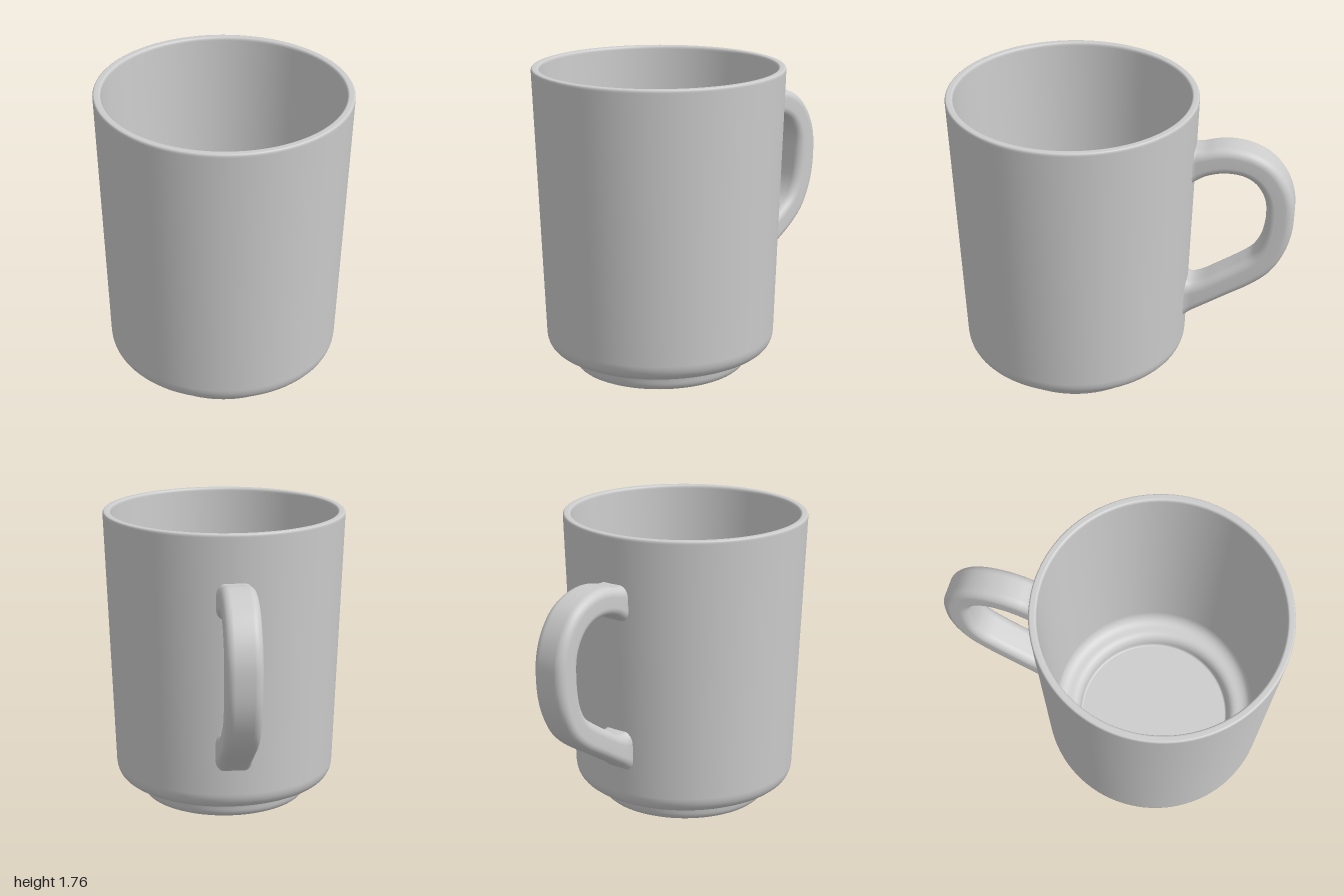
import * as THREE from 'three';

const material = new THREE.MeshStandardMaterial({ color: 0xcccccc });
const CUP_Z = 0.283;

// Hollow cup with stepped foot, turned around its own axis
function makeCup() {
  const p = new THREE.Path();
  p.moveTo(0, 0);
  p.lineTo(0.45, 0);
  p.bezierCurveTo(0.485, 0, 0.506, 0.022, 0.509, 0.06); // foot edge
  p.lineTo(0.511, 0.072);
  p.quadraticCurveTo(0.517, 0.105, 0.55, 0.107);     // groove above the foot
  p.lineTo(0.56, 0.107);
  p.bezierCurveTo(0.62, 0.107, 0.659, 0.145, 0.662, 0.21); // shoulder
  p.lineTo(0.716, 1.74);
  p.quadraticCurveTo(0.717, 1.76, 0.704, 1.76);      // rim
  p.lineTo(0.686, 1.76);
  p.quadraticCurveTo(0.672, 1.76, 0.671, 1.74);
  p.lineTo(0.615, 0.24);                             // inner wall
  p.bezierCurveTo(0.612, 0.18, 0.58, 0.155, 0.53, 0.153);
  p.quadraticCurveTo(0.47, 0.15, 0.465, 0.08);       // step down to the floor
  p.quadraticCurveTo(0.464, 0.055, 0.45, 0.055);
  p.lineTo(0, 0.055);
  const mesh = new THREE.Mesh(new THREE.LatheGeometry(p.getPoints(8), 96), material);
  mesh.name = 'cup';
  mesh.position.z = CUP_Z;
  return mesh;
}

// Rounded rectangle section: x across the handle, t from 0 (inner edge) to 1 (outer edge)
function sectionPoints(width, depth, radius, steps) {
  const pts = [];
  const corners = [[1, 1], [-1, 1], [-1, -1], [1, -1]];
  corners.forEach(([sx, sy], c) => {
    for (let i = 0; i <= steps; i++) {
      const a = (c + i / steps) * Math.PI / 2;
      pts.push([
        sx * (width / 2 - radius) + radius * Math.cos(a),
        (sy * (depth / 2 - radius) + radius * Math.sin(a)) / depth + 0.5,
      ]);
    }
  });
  return pts;
}

// Handle swept between its outer and inner edge curves, given as [z, y]
function makeHandle() {
  const edge = (pts) => new THREE.CatmullRomCurve3(pts.map(([z, y]) => new THREE.Vector3(0, y, z)));
  const outer = edge([
    [-0.395, 1.485], [-0.43, 1.48], [-0.47, 1.483], [-0.54, 1.5], [-0.63, 1.507], [-0.75, 1.485], [-0.86, 1.425],
    [-0.945, 1.32], [-0.99, 1.2], [-0.999, 1.08], [-0.985, 0.94], [-0.945, 0.82], [-0.88, 0.71],
    [-0.78, 0.62], [-0.63, 0.525], [-0.5, 0.443], [-0.41, 0.385], [-0.365, 0.345],
  ]);
  const inner = edge([
    [-0.395, 1.255], [-0.43, 1.283], [-0.48, 1.315], [-0.55, 1.338], [-0.62, 1.345], [-0.7, 1.333], [-0.765, 1.295],
    [-0.81, 1.235], [-0.833, 1.17], [-0.838, 1.08], [-0.83, 0.97], [-0.808, 0.88], [-0.765, 0.807],
    [-0.69, 0.748], [-0.56, 0.664], [-0.47, 0.61], [-0.42, 0.595], [-0.365, 0.605],
  ]);
  const section = sectionPoints(0.204, 0.16, 0.05, 6);
  const n = section.length, rings = 100;
  const pos = [], index = [];
  for (let i = 0; i <= rings; i++) {
    const u = i / rings;
    const a = inner.getPoint(u), b = outer.getPoint(u);
    const flare = 1 + 0.12 * Math.max(0, Math.abs(2 * u - 1) * 8 - 7) ** 2; // wider at the wall
    for (const [x, t] of section) {
      const v = a.clone().lerp(b, t);
      pos.push(x * flare, v.y, v.z);
    }
  }
  for (let i = 0; i < rings; i++) {
    for (let j = 0; j < n; j++) {
      const k = (j + 1) % n;
      const a = i * n + j, b = i * n + k, c = a + n, d = b + n;
      index.push(a, c, b, b, c, d);
    }
  }
  const geo = new THREE.BufferGeometry();
  geo.setAttribute('position', new THREE.Float32BufferAttribute(pos, 3));
  geo.setIndex(index);
  geo.computeVertexNormals();
  const mesh = new THREE.Mesh(geo, material);
  mesh.name = 'handle';
  return mesh;
}

export function createModel() {
  const group = new THREE.Group();
  group.name = 'mug';
  group.add(makeCup(), makeHandle());
  return group;
}
